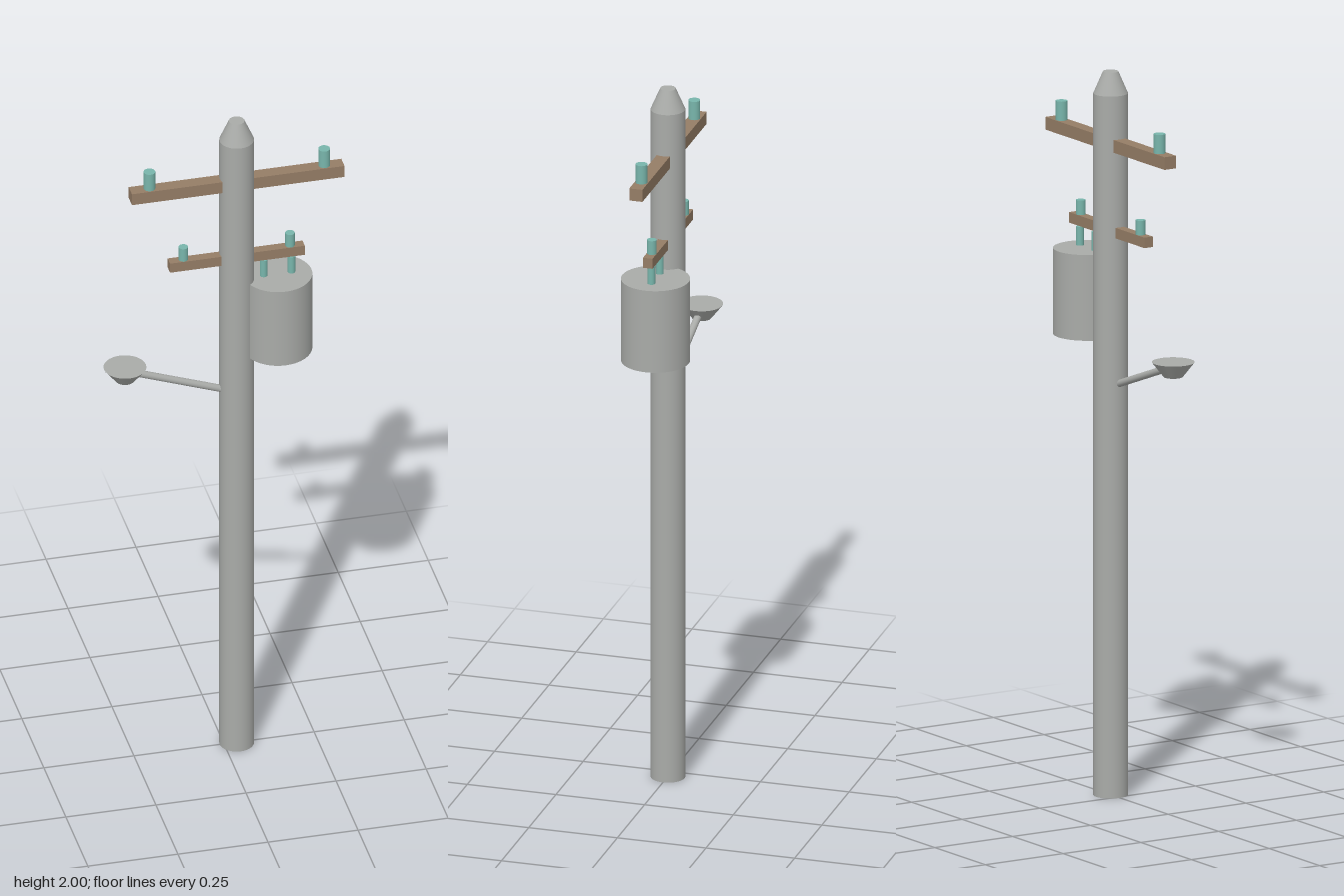
import * as THREE from 'three';

const material = (name, color) => {
  const m = new THREE.MeshStandardMaterial({ color });
  m.name = name;
  return m;
};

export function createModel() {
  const model = new THREE.Group();
  model.name = 'utilityPole';
  const grey = material('concreteGrey', 0xa9aba8);
  const wood = material('weatheredWood', 0x957d66);
  const teal = material('insulatorTeal', 0x78b5ab);
  const poleX = 0.035;

  const add = (name, geometry, mat, x, y, z = 0) => {
    const mesh = new THREE.Mesh(geometry, mat);
    mesh.name = name;
    mesh.position.set(x, y, z);
    model.add(mesh);
    return mesh;
  };
  // Upright cylinder given by its bottom and top heights
  const upright = (name, mat, x, y0, y1, rBottom, rTop = rBottom, sides = 32) =>
    add(name, new THREE.CylinderGeometry(rTop, rBottom, y1 - y0, sides), mat, x, (y0 + y1) / 2);

  // Pole with tapered cap
  upright('pole', grey, poleX, 0, 1.94, 0.047);
  upright('poleCap', grey, poleX, 1.94, 2, 0.047, 0.021);

  // Crossarms, each with a pair of insulators
  const arms = [
    { name: 'upper', x0: -0.26, x1: 0.33, y0: 1.785, y1: 1.82, depth: 0.037, pins: [-0.207, 0.278], r: 0.016, top: 1.873 },
    { name: 'lower', x0: -0.153, x1: 0.221, y0: 1.548, y1: 1.577, depth: 0.027, pins: [-0.113, 0.183], r: 0.013, top: 1.617 },
  ];
  for (const a of arms) {
    add(a.name + 'Crossarm', new THREE.BoxGeometry(a.x1 - a.x0, a.y1 - a.y0, a.depth), wood,
      (a.x0 + a.x1) / 2, (a.y0 + a.y1) / 2);
    for (const x of a.pins) upright(a.name + 'Insulator', teal, x, a.y1, a.top, a.r, a.r, 24);
  }

  // Transformer drum with two bushings
  upright('transformer', grey, 0.149, 1.254, 1.491, 0.0935, 0.0935, 40);
  for (const x of [0.11, 0.187]) upright('bushing', teal, x, 1.491, 1.543, 0.0105, 0.0105, 24);

  // Street lamp: sloping arm and flared head
  upright('lampHead', grey, -0.275, 1.214, 1.255, 0.026, 0.058);
  const from = new THREE.Vector3(0, 1.142, 0);
  const to = new THREE.Vector3(-0.262, 1.238, 0);
  const mid = from.clone().lerp(to, 0.5);
  const arm = add('lampArm', new THREE.CylinderGeometry(0.01, 0.01, from.distanceTo(to), 20), grey, mid.x, mid.y);
  arm.quaternion.setFromUnitVectors(new THREE.Vector3(0, 1, 0), to.clone().sub(from).normalize());

  return model;
}
